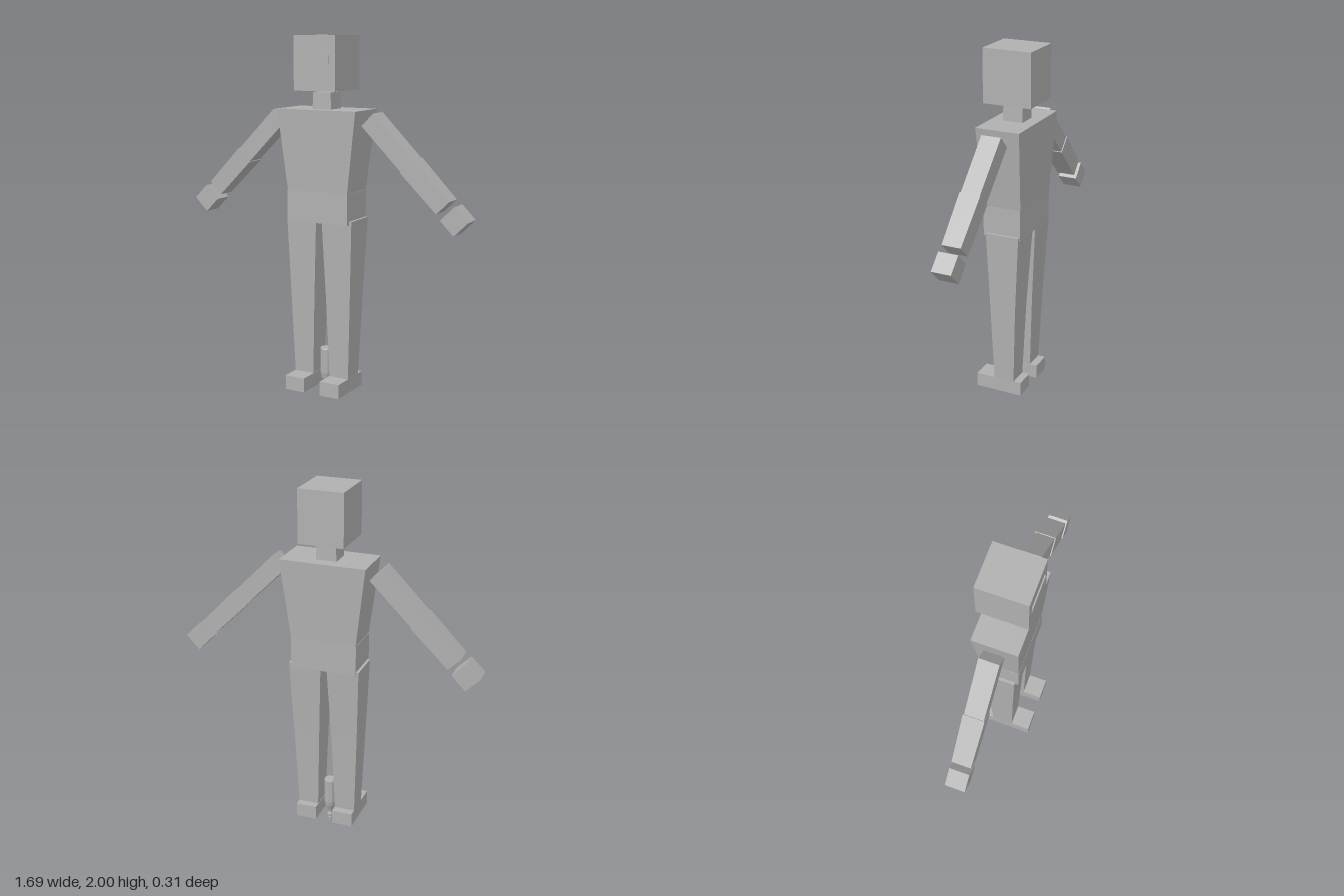
import * as THREE from 'three';

const grey = new THREE.MeshStandardMaterial({ color: 0xb0b0b0 });
grey.name = 'plain grey';

// Flat-faced block lofted through rectangles [y, x0, x1, z0, z1], listed bottom to top
function loft(name, sections) {
  const pos = [], idx = [], last = (sections.length - 1) * 4;
  for (const [y, x0, x1, z0, z1] of sections) {
    pos.push(x0, y, z1, x1, y, z1, x1, y, z0, x0, y, z0);
  }
  for (let s = 0; s < last; s += 4) {
    for (let i = 0; i < 4; i++) {
      const a = s + i, b = s + (i + 1) % 4;
      idx.push(a, b, b + 4, a, b + 4, a + 4);
    }
  }
  idx.push(0, 2, 1, 0, 3, 2, last, last + 1, last + 2, last, last + 2, last + 3);
  const indexed = new THREE.BufferGeometry();
  indexed.setAttribute('position', new THREE.Float32BufferAttribute(pos, 3));
  indexed.setIndex(idx);
  const geo = indexed.toNonIndexed();
  geo.computeVertexNormals();
  const mesh = new THREE.Mesh(geo, grey);
  mesh.name = name;
  return mesh;
}

// Straight block between two corners
const block = (name, x0, x1, y0, y1, z0, z1) =>
  loft(name, [[y0, x0, x1, z0, z1], [y1, x0, x1, z0, z1]]);

// Section centred on x
const mid = (y, w, z0, z1) => [y, -w, w, z0, z1];

// Leg with a slight bend at the knee, and its foot
function makeLeg(side) {
  const leg = new THREE.Group();
  const section = (y, inner, outer, z0, z1) =>
    side > 0 ? [y, inner, outer, z0, z1] : [y, -outer, -inner, z0, z1];
  leg.add(
    loft('shin', [section(0.13, 0.052, 0.168, -0.075, 0.045), section(0.57, 0.037, 0.184, -0.092, 0.058)]),
    loft('thigh', [section(0.57, 0.037, 0.184, -0.092, 0.058), section(1.02, 0.017, 0.2, -0.118, 0.073)]),
    loft('foot', [section(0.05, 0.05, 0.168, -0.118, 0.153), section(0.13, 0.05, 0.168, -0.118, 0.153)])
  );
  leg.name = side > 0 ? 'leftLeg' : 'rightLeg';
  return leg;
}

// Arm hanging down its own y axis, then swung out by 45 degrees
function makeArm(side) {
  const arm = new THREE.Group();
  arm.add(
    loft('upperArm', [mid(-0.33, 0.048, -0.053, 0.053), mid(0, 0.049, -0.055, 0.055)]),
    loft('forearm', [mid(-0.613, 0.049, -0.053, 0.053), mid(-0.325, 0.052, -0.058, 0.058)]),
    block('hand', -0.054, 0.054, -0.758, -0.65, -0.055, 0.055)
  );
  arm.position.set(side * 0.272, 1.565, -0.018);
  arm.rotation.z = side * Math.PI / 4;
  arm.name = side > 0 ? 'leftArm' : 'rightArm';
  return arm;
}

export function createModel() {
  const model = new THREE.Group();
  model.name = 'blockFigure';

  // Head, neck and body
  model.add(
    block('head', -0.125, 0.125, 1.71, 2, -0.152, 0.12),
    block('facePlate', -0.09, 0.09, 1.855, 1.9, 0.119, 0.127),
    loft('neck', [mid(1.61, 0.057, -0.073, 0.04), mid(1.7, 0.053, -0.071, 0.038)]),
    loft('chest', [mid(1.17, 0.183, -0.123, 0.092), mid(1.61, 0.238, -0.14, 0.108)]),
    block('pelvis', -0.185, 0.185, 1, 1.17, -0.122, 0.093)
  );

  for (const side of [1, -1]) model.add(makeLeg(side), makeArm(side));

  // Upturned bottle between the feet
  const profile = [
    [0, 0], [0.013, 0], [0.015, 0.02], [0.013, 0.028], [0.018, 0.035], [0.018, 0.045], [0.013, 0.05],
    [0.016, 0.07], [0.029, 0.1], [0.035, 0.13], [0.035, 0.268], [0.032, 0.275], [0, 0.275],
  ].map(([x, y]) => new THREE.Vector2(x, y));
  const bottleGeo = new THREE.LatheGeometry(profile, 10).toNonIndexed();
  bottleGeo.computeVertexNormals();
  const bottle = new THREE.Mesh(bottleGeo, grey);
  bottle.name = 'bottle';
  bottle.position.z = -0.013;
  model.add(bottle);

  return model;
}
